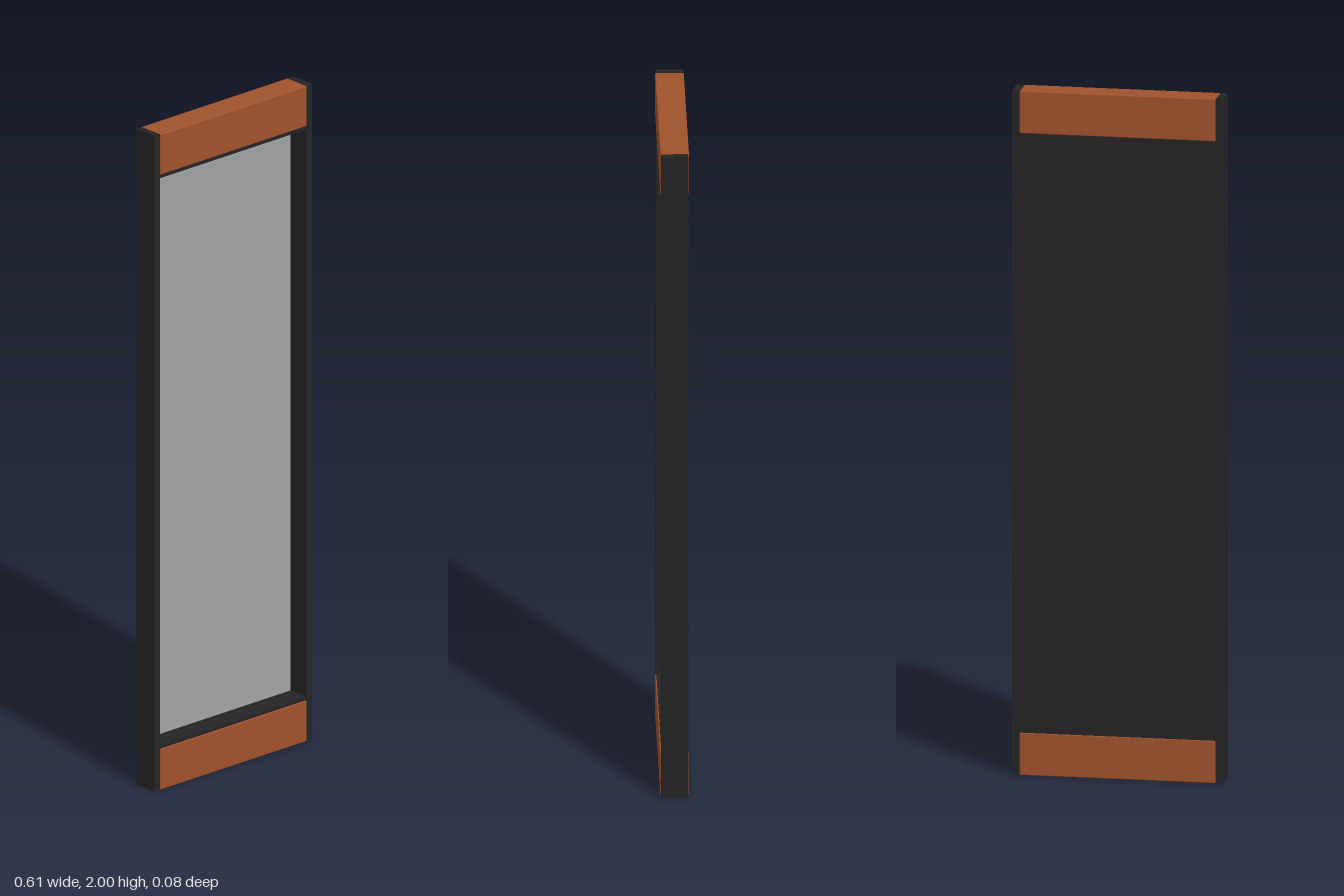
import * as THREE from 'three';
import { RoundedBoxGeometry } from 'three/addons/geometries/RoundedBoxGeometry.js';

export function createModel() {
  const group = new THREE.Group();
  const wood = new THREE.MeshStandardMaterial({ color: 0xa0522d });
  wood.name = 'brown wood';
  const black = new THREE.MeshStandardMaterial({ color: 0x242424 });
  black.name = 'black frame';
  const glass = new THREE.MeshStandardMaterial({ color: 0xa2a2a2 });
  glass.name = 'grey glass';

  const add = (name, geometry, material, x, y, z) => {
    const mesh = new THREE.Mesh(geometry, material);
    mesh.name = name;
    mesh.position.set(x, y, z);
    group.add(mesh);
  };

  // Side rails run the full height
  for (const [side, s] of [['left', 1], ['right', -1]]) {
    add(side + 'Rail', new THREE.BoxGeometry(0.021, 2, 0.077), black, s * 0.2945, 1, 0);
  }

  // Wooden end blocks, each with a black inner lip next to the glass
  for (const [end, s] of [['top', 1], ['bottom', -1]]) {
    add(end + 'Block', new RoundedBoxGeometry(0.567, 0.124, 0.082, 2, 0.003), wood, 0, 1 + s * 0.938, 0);
    add(end + 'Lip', new THREE.BoxGeometry(0.568, 0.02, 0.074), black, 0, 1 + s * 0.875, 0);
  }

  // Backing board and the mirror pane set deep in the frame
  add('backPanel', new THREE.BoxGeometry(0.568, 1.76, 0.006), black, 0, 1, -0.0355);
  add('mirrorPane', new THREE.BoxGeometry(0.568, 1.73, 0.004), glass, 0, 1, -0.031);

  return group;
}
